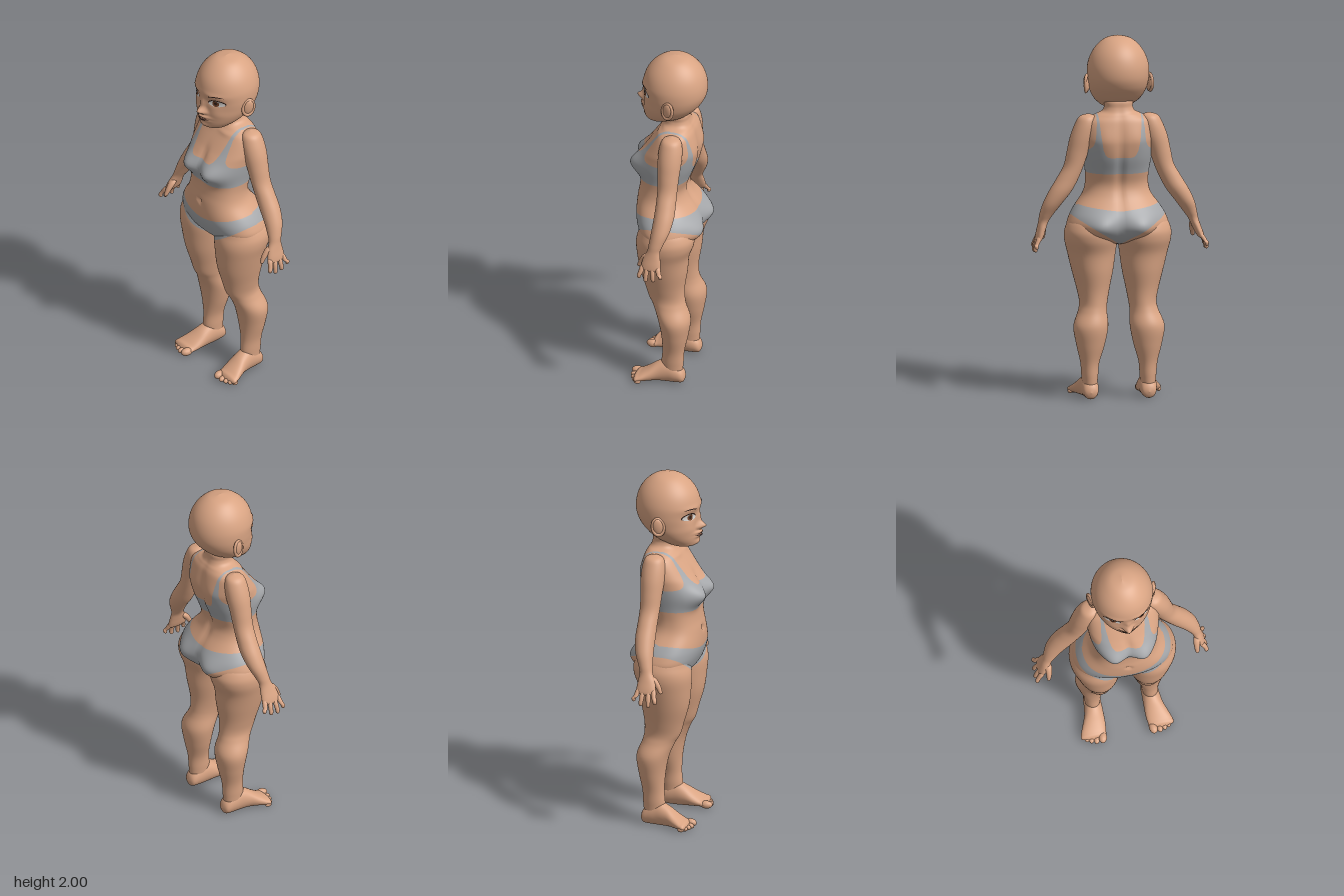
import * as THREE from 'three';

const mat = (name, color, side = THREE.FrontSide) => {
  const m = new THREE.MeshStandardMaterial({ color, side });
  m.name = name;
  return m;
};
const gauss = (d, s) => Math.exp(-(d * d) / (s * s));
const blob = (x, y, cx, cy, sx, sy) => gauss(x - cx, sx) * gauss(y - cy, sy);

// A cross-section given by its centre x, height, half width, front z and back z
const slab = (x, y, r, zf, zb) => [x, y, (zf + zb) / 2, r, (zf - zb) / 2];

// Catmull-Rom through rows of numbers
function rowAt(rows, t) {
  const n = rows.length - 1, i = Math.min(Math.floor(t), n - 1), f = t - i;
  const [p, q, r, s] = [i - 1, i, i + 1, i + 2].map(k => rows[Math.max(0, Math.min(n, k))]);
  return q.map((b, k) => {
    const m0 = (r[k] - p[k]) / 2, m1 = (s[k] - b) / 2, d = r[k] - b;
    return b + f * (m0 + f * (3 * d - 2 * m0 - m1 + f * (m0 + m1 - 2 * d)));
  });
}

// Skin over rows [x, y, z, half width, half depth]; rings lie across the y or z axis
function loft(rows, { s = 1, seg = 24, sub = 4, axis = 'y', p = 2, bump = null } = {}) {
  const pos = [], idx = [], steps = (rows.length - 1) * sub;
  const sup = v => Math.sign(v) * Math.abs(v) ** (2 / p);
  for (let i = 0; i <= steps; i++) {
    const [x, y, z, a0, b0] = rowAt(rows, i / sub);
    const a = Math.max(0, a0), b = Math.max(0, b0);
    for (let j = 0; j < seg; j++) {
      const th = (j / seg) * Math.PI * 2, c = a * sup(Math.cos(th)), d = b * sup(Math.sin(th));
      const v = axis === 'y' ? [x + c, y, z + d] : [x + c, Math.max(0, y + d), z];
      if (bump) v[2] += bump(v[0], v[1], Math.sin(th));
      pos.push(v[0] * s, v[1], v[2]);
      if (i < steps) {
        const k = i * seg + j, l = i * seg + (j + 1) % seg;
        idx.push(k, k + seg, l, l, k + seg, l + seg);
      }
    }
  }
  // Turn the faces outward
  let vol = 0;
  const [A, B, C] = [0, 1, 2].map(() => new THREE.Vector3());
  for (let i = 0; i < idx.length; i += 3) {
    [A, B, C].forEach((v, k) => v.fromArray(pos, idx[i + k] * 3));
    vol += A.dot(B.cross(C));
  }
  if (vol < 0) idx.reverse();
  const g = new THREE.BufferGeometry();
  g.setAttribute('position', new THREE.Float32BufferAttribute(pos, 3));
  g.setIndex(idx);
  g.computeVertexNormals();
  return g;
}

// Cuts a surface along field = 0: group 0 is outside (skin), group 1 inside (cloth)
function splitByField(geo, field) {
  const g = geo.toNonIndexed(), P = g.attributes.position, N = g.attributes.normal;
  const parts = [[], []];
  for (let i = 0; i < P.count; i += 3) {
    const tri = [0, 1, 2].map(k => [
      P.getX(i + k), P.getY(i + k), P.getZ(i + k), N.getX(i + k), N.getY(i + k), N.getZ(i + k)]);
    const f = tri.map(v => field(v[0], v[1], v[2]));
    [-1, 1].forEach((sign, side) => {
      const poly = [];
      tri.forEach((v, k) => {
        const n = (k + 1) % 3, w = tri[n], a = f[k] * sign, b = f[n] * sign;
        if (a >= 0) poly.push(v);
        if (a * b < 0) poly.push(v.map((q, m) => q + (w[m] - q) * a / (a - b)));
      });
      for (let k = 2; k < poly.length; k++) parts[side].push(poly[0], poly[k - 1], poly[k]);
    });
  }
  const all = parts.flat(), out = new THREE.BufferGeometry();
  out.setAttribute('position', new THREE.Float32BufferAttribute(all.flatMap(v => v.slice(0, 3)), 3));
  out.setAttribute('normal', new THREE.Float32BufferAttribute(all.flatMap(v => v.slice(3)), 3));
  out.addGroup(0, parts[0].length, 0);
  out.addGroup(parts[0].length, parts[1].length, 1);
  return out;
}

// Clothing outlines
function topField(x, y, z) {
  const a = Math.abs(x);
  const neck = Math.min(3, (z > -0.03 ? 1.385 : 1.34) + 0.04 * (a / 0.095) ** 8);
  const armhole = a < 0.123 ? 3 : Math.min(3, 1.36 + 0.0012 / (a - 0.122));
  return Math.min(y - 1.245, neck - y, armhole - y);
}
function briefsField(x, y, z) {
  const a = Math.abs(x), front = z > -0.02;
  const waist = front ? 1.015 + 0.058 * (a / 0.25) ** 1.5 : 1.045 + 0.03 * (a / 0.25);
  const leg = 0.845 + 0.15 * (front ? (a / 0.24) ** 1.3 : (a / 0.22) ** 0.8);
  return Math.min(waist - y, y - leg);
}

const torsoRows = [
  [1.67, 0, -0.03, -0.05], [1.65, 0.075, 0.03, -0.105], [1.61, 0.078, 0.025, -0.112],
  [1.585, 0.092, 0.025, -0.12], [1.565, 0.135, 0.035, -0.132], [1.53, 0.185, 0.06, -0.148],
  [1.45, 0.2, 0.115, -0.165], [1.4, 0.197, 0.145, -0.165], [1.33, 0.188, 0.165, -0.152],
  [1.25, 0.175, 0.155, -0.122], [1.18, 0.172, 0.16, -0.102], [1.12, 0.188, 0.17, -0.117],
  [1.05, 0.238, 0.174, -0.16], [1, 0.266, 0.17, -0.178], [0.95, 0.277, 0.155, -0.175],
  [0.9, 0.24, 0.13, -0.15], [0.865, 0.13, 0.08, -0.11], [0.845, 0, 0.02, -0.04],
].map(([y, r, f, b]) => slab(0, y, r, f, b));

function torsoBump(x, y, sin) {
  const a = Math.abs(x);
  if (sin > 0) {
    return Math.min(1, sin * 2) * (0.052 * blob(a, y, 0.09, 1.325, 0.07, 0.06)
      - 0.012 * blob(x, y, 0, 1.41, 0.02, 0.04) - 0.015 * blob(x, y, 0, 1.115, 0.012, 0.014)
      + 0.006 * blob(a, y, 0.07, 1.545, 0.05, 0.012));
  }
  return Math.min(1, -sin * 2) * (-0.045 * blob(a, y, 0.115, 0.95, 0.085, 0.07)
    + 0.014 * gauss(x, 0.022) * gauss(y - 1.27, 0.24) - 0.008 * blob(a, y, 0.09, 1.44, 0.05, 0.07));
}

const headRows = [
  [2, 0, -0.02, -0.04], [1.985, 0.066, 0.04, -0.1], [1.95, 0.112, 0.09, -0.15],
  [1.9, 0.147, 0.128, -0.186], [1.84, 0.167, 0.147, -0.204], [1.78, 0.169, 0.147, -0.204],
  [1.73, 0.162, 0.142, -0.185], [1.69, 0.15, 0.144, -0.155], [1.65, 0.128, 0.146, -0.115],
  [1.62, 0.1, 0.142, -0.06], [1.6, 0.072, 0.132, -0.01], [1.585, 0, 0.1, 0.06],
].map(([y, r, f, b]) => slab(0, y, r, f, b));

function faceBump(x, y, sin) {
  const a = Math.abs(x);
  return Math.max(0, Math.min(1, sin * 3)) * (0.042 * blob(x, y, 0, 1.712, 0.02, 0.02)
    + 0.014 * blob(x, y, 0, 1.75, 0.016, 0.035) + 0.012 * blob(a, y, 0.022, 1.704, 0.012, 0.012)
    - 0.01 * blob(a, y, 0.075, 1.78, 0.045, 0.025) + 0.006 * blob(a, y, 0.07, 1.825, 0.06, 0.015)
    + 0.006 * blob(a, y, 0.09, 1.71, 0.04, 0.035) + 0.02 * blob(x, y, 0, 1.675, 0.04, 0.009)
    + 0.016 * blob(x, y, 0, 1.654, 0.034, 0.009) + 0.008 * blob(x, y, 0, 1.615, 0.035, 0.014));
}
function faceZ(x, y) {
  let lo = 0, hi = headRows.length - 1;
  for (let i = 0; i < 30; i++) {
    const m = (lo + hi) / 2;
    if (rowAt(headRows, m)[1] > y) lo = m; else hi = m;
  }
  const [, , z, a, b] = rowAt(headRows, lo);
  return z + b * Math.sqrt(Math.max(0, 1 - (x / a) ** 2)) + faceBump(x, y, 1);
}
// Thin oval laid on the face; arch bends it upward in the middle, tilt raises its outer end
function facePatch(cx, cy, rx, ry, lift, arch = 0, tilt = 0) {
  const g = new THREE.RingGeometry(0.001, 1, 32, 5), P = g.attributes.position;
  for (let i = 0; i < P.count; i++) {
    const u = P.getX(i), x = cx + rx * u;
    const y = cy + ry * P.getY(i) + arch * (1 - u * u) + tilt * u * Math.sign(cx);
    P.setXYZ(i, x, y, faceZ(x, y) + lift);
  }
  g.computeVertexNormals();
  return g;
}

export function createModel() {
  const skin = mat('skin', 0xd9a483), cloth = mat('grey cloth', 0xa6a8ab);
  const white = mat('eye white', 0xd8d4d0, THREE.DoubleSide), iris = mat('brown iris', 0x6e4028, THREE.DoubleSide);
  const dark = mat('dark lines', 0x2e1d18, THREE.DoubleSide), lip = mat('lips', 0xc08a72, THREE.DoubleSide);
  const body = new THREE.Group();
  body.name = 'figure';
  body.position.x = 0.018;
  const add = (name, geo, m = skin) => {
    const mesh = new THREE.Mesh(geo, m);
    mesh.name = name;
    body.add(mesh);
    return mesh;
  };

  // Torso with top and briefs, then head
  const torso = loft(torsoRows, { seg: 96, sub: 6, p: 2.3, bump: torsoBump });
  add('torso', splitByField(torso, (x, y, z) => Math.max(topField(x, y, z), briefsField(x, y, z))), [skin, cloth]);
  add('head', loft(headRows, { seg: 96, sub: 8, bump: faceBump }));
  add('lips', facePatch(0, 1.664, 0.038, 0.011, 0.0015), lip);
  add('mouthLine', facePatch(0, 1.662, 0.048, 0.003, 0.003, -0.004), dark);

  for (const s of [1, -1]) {
    const side = s > 0 ? 'left' : 'right';
    const part = (name, geo, m) => add(side + name, geo, m);

    // Eye and brow
    part('Lashes', facePatch(s * 0.083, 1.78, 0.046, 0.021, 0.001, 0.003, 0.003), dark);
    part('EyeWhite', facePatch(s * 0.083, 1.777, 0.042, 0.018, 0.0025, 0.002, 0.003), white);
    part('Iris', facePatch(s * 0.08, 1.779, 0.018, 0.018, 0.004), iris);
    part('Pupil', facePatch(s * 0.08, 1.779, 0.008, 0.009, 0.0055), dark);
    part('Brow', facePatch(s * 0.08, 1.82, 0.042, 0.003, 0.002, 0.008, 0.004), dark);

    // Ear: bowl and rim
    const ear = part('Ear', new THREE.SphereGeometry(1, 20, 14));
    ear.scale.set(0.014, 0.048, 0.03);
    const rim = part('EarRim', new THREE.TorusGeometry(0.032, 0.0085, 8, 28));
    rim.scale.set(1, 1.4, 1);
    for (const e of [ear, rim]) e.position.set(s * 0.174, 1.738, -0.033);
    ear.rotation.set(-0.15, s * -0.35, s * -0.15);
    rim.rotation.set(-0.15, Math.PI / 2 - s * 0.35, 0);

    // Arm and palm; the right hand swings out a little further
    const swing = y => (s < 0 ? Math.max(0, 1 - y) * 0.17 : 0);
    const hang = rows => rows.map(([x, y, ...r]) => [x + swing(y), y, ...r]);
    part('Arm', loft(hang([
      [0.165, 1.575, -0.055, 0, 0], [0.172, 1.56, -0.055, 0.042, 0.045], [0.18, 1.52, -0.055, 0.06, 0.062],
      [0.2, 1.45, -0.055, 0.067, 0.066], [0.225, 1.37, -0.055, 0.06, 0.06], [0.248, 1.29, -0.056, 0.055, 0.055],
      [0.282, 1.22, -0.058, 0.06, 0.054], [0.322, 1.15, -0.058, 0.062, 0.055], [0.365, 1.08, -0.05, 0.052, 0.05],
      [0.395, 1.02, -0.035, 0.038, 0.04], [0.41, 0.98, -0.025, 0.028, 0.036], [0.42, 0.94, -0.018, 0.025, 0.047],
      [0.43, 0.9, -0.015, 0.023, 0.054], [0.437, 0.875, -0.015, 0.017, 0.05], [0.44, 0.862, -0.015, 0, 0],
    ]), { s, seg: 32, sub: 5 }));

    // Fingers and thumb
    [[0.03, 0.045, 0.822], [0.002, 0.008, 0.803], [-0.028, -0.034, 0.808], [-0.056, -0.075, 0.83]]
      .forEach(([z0, z1, tip], i) => part('Finger' + (i + 1), loft(hang([
        [0.433, 0.905, z0, 0, 0], [0.436, 0.89, z0, 0.014, 0.014], [0.45, 0.86, (z0 + z1) / 2, 0.013, 0.0135],
        [0.456, tip + 0.02, z1, 0.0115, 0.012], [0.454, tip + 0.006, z1, 0.009, 0.009], [0.453, tip, z1, 0, 0],
      ]), { s, seg: 12 })));
    part('Thumb', loft(hang([
      [0.41, 0.97, 0, 0, 0], [0.408, 0.95, 0.012, 0.018, 0.02], [0.404, 0.92, 0.035, 0.017, 0.019],
      [0.402, 0.89, 0.052, 0.013, 0.014], [0.402, 0.873, 0.06, 0.01, 0.01], [0.402, 0.865, 0.062, 0, 0],
    ]), { s, seg: 14 }));

    // Leg
    const leg = loft([
      [0.15, 1.03, 0, 0, -0.02], [0.15, 1, 0.1, 0.11, -0.13], [0.147, 0.94, 0.141, 0.135, -0.172],
      [0.147, 0.88, 0.146, 0.147, -0.172], [0.143, 0.8, 0.132, 0.142, -0.145], [0.138, 0.7, 0.113, 0.13, -0.135],
      [0.135, 0.6, 0.09, 0.102, -0.12], [0.135, 0.53, 0.077, 0.082, -0.12], [0.142, 0.48, 0.079, 0.054, -0.13],
      [0.155, 0.4, 0.095, 0.022, -0.157], [0.157, 0.3, 0.078, 0.003, -0.145], [0.16, 0.2, 0.052, -0.003, -0.125],
      [0.16, 0.12, 0.045, 0.002, -0.12], [0.16, 0.06, 0.036, -0.01, -0.11], [0.16, 0.03, 0, -0.05, -0.07],
    ].map(r => slab(...r)), { s, seg: 56, sub: 6 });
    part('Leg', splitByField(leg, briefsField), [skin, cloth]);

    // Foot and toes
    part('Foot', loft([
      [0.16, 0.04, -0.133, 0, 0], [0.16, 0.043, -0.12, 0.035, 0.036], [0.16, 0.058, -0.08, 0.046, 0.058],
      [0.161, 0.066, -0.03, 0.049, 0.068], [0.165, 0.057, 0.02, 0.054, 0.058], [0.175, 0.04, 0.07, 0.064, 0.04],
      [0.185, 0.028, 0.11, 0.069, 0.027], [0.188, 0.023, 0.135, 0.064, 0.02], [0.19, 0.02, 0.15, 0, 0],
    ], { s, seg: 32, sub: 5, axis: 'z' }));
    [[0.14, 0.155, 0.023], [0.175, 0.158, 0.016], [0.202, 0.15, 0.015], [0.225, 0.139, 0.0145], [0.244, 0.124, 0.013]]
      .forEach(([x, z, r], i) => {
        const toe = part('Toe' + (i + 1), new THREE.SphereGeometry(r, 14, 10));
        toe.scale.set(1, 0.95, 1.5);
        toe.position.set(s * x, r * 0.95, z - r * 0.5);
        toe.rotation.y = s * 0.15;
      });
  }

  const model = new THREE.Group();
  model.name = 'model';
  model.add(body);
  return model;
}
